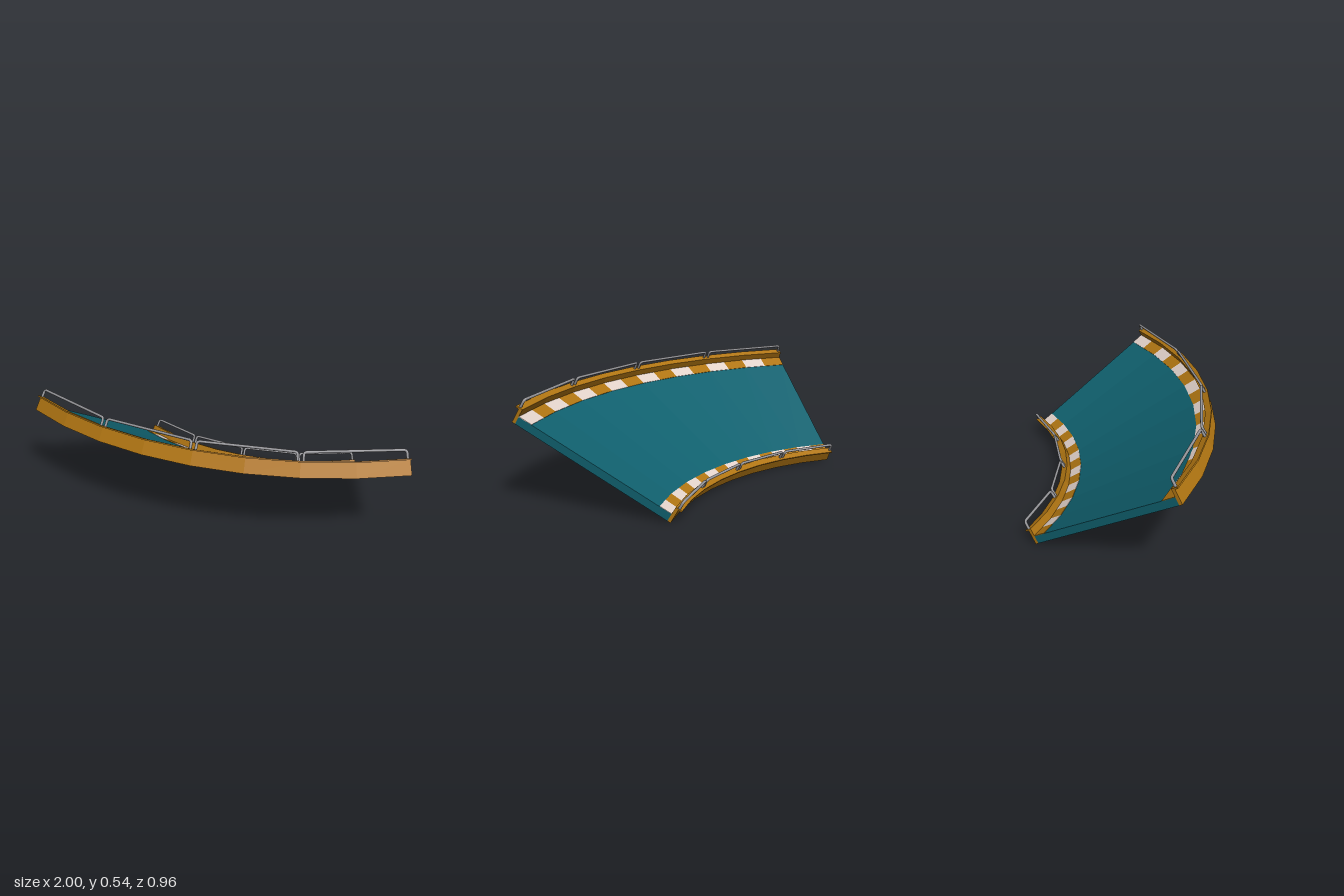
import * as THREE from 'three';

// Banked 60 degree curve: (u, v) run along and across the 30 degree slope
const CENTRE_Z = -1.52, INNER_R = 1.26, WIDTH = 0.854, WALL = 0.017;
const BANK = Math.PI / 6, HALF = Math.PI / 6;

function place(u, v, angle) {
  const r = INNER_R + u * Math.cos(BANK) - v * Math.sin(BANK);
  const y = u * Math.sin(BANK) + v * Math.cos(BANK);
  return new THREE.Vector3(r * Math.sin(angle), y, CENTRE_Z + r * Math.cos(angle));
}

// Sweep a rectangle of the cross-section along the arc
function sweep(u0, u1, v0, v1, start, end, steps) {
  const corners = [[u0, v0], [u1, v0], [u1, v1], [u0, v1]];
  const ring = (i) => {
    const angle = start + (end - start) * i / steps;
    return corners.map(([u, v]) => place(u, v, angle));
  };
  const points = [];
  const quad = (a, b, c, d) => points.push(a, b, c, a, c, d);
  for (let i = 0; i < steps; i++) {
    const p = ring(i), q = ring(i + 1);
    for (let k = 0; k < 4; k++) {
      const n = (k + 1) % 4;
      quad(p[k], q[k], q[n], p[n]);
    }
  }
  const first = ring(0), last = ring(steps);
  quad(first[0], first[1], first[2], first[3]);
  quad(last[3], last[2], last[1], last[0]);
  const geometry = new THREE.BufferGeometry().setFromPoints(points);
  geometry.computeVertexNormals();
  return geometry;
}

// Handrail hoop with rounded corners, standing between two angles
function railGeometry(u, start, end) {
  const base = 0.078, top = 0.121, bend = 0.016;
  const a = place(u, base, start), b = place(u, top, start);
  const c = place(u, top, end), d = place(u, base, end);
  const toward = (p, q) => p.clone().addScaledVector(q.clone().sub(p).normalize(), bend);
  const path = new THREE.CurvePath();
  path.add(new THREE.LineCurve3(a, toward(b, a)));
  path.add(new THREE.QuadraticBezierCurve3(toward(b, a), b, toward(b, c)));
  path.add(new THREE.LineCurve3(toward(b, c), toward(c, b)));
  path.add(new THREE.QuadraticBezierCurve3(toward(c, b), c, toward(c, d)));
  path.add(new THREE.LineCurve3(toward(c, d), d));
  return new THREE.TubeGeometry(path, 100, 0.007, 8, false);
}

export function createModel() {
  const model = new THREE.Group();
  const paint = (color, flatShading = true) => new THREE.MeshStandardMaterial({ color, flatShading });
  const teal = paint(0x10606e), gold = paint(0xb07512), white = paint(0xe2d2ca);
  const metal = paint(0x96969a, false);
  const add = (name, geometry, material, parent = model) => {
    const mesh = new THREE.Mesh(geometry, material);
    mesh.name = name;
    parent.add(mesh);
  };

  // Road slab
  add('roadSurface', sweep(WALL, WIDTH - WALL, 0, 0.04, -HALF, HALF, 8), teal);

  const sides = [
    { name: 'inner', wall: [0, WALL], lip: [-WALL, WALL], curb: [WALL, 0.081], rail: 0 },
    { name: 'outer', wall: [WIDTH - WALL, WIDTH], lip: [WIDTH - WALL, WIDTH + WALL],
      curb: [0.768, WIDTH - WALL], rail: WIDTH },
  ];
  for (const side of sides) {
    const group = new THREE.Group();
    group.name = side.name + 'Barrier';
    model.add(group);

    // Barrier wall with overhanging lip
    add(side.name + 'Wall', sweep(...side.wall, 0, 0.073, -HALF, HALF, 8), gold, group);
    add(side.name + 'Lip', sweep(...side.lip, 0.073, 0.08, -HALF, HALF, 8), gold, group);

    // Striped curb
    const stripe = 2 * HALF / 16;
    for (let i = 0; i < 16; i++) {
      const start = -HALF + i * stripe;
      // Pair the stripes on the road's own facets
      const facet = -HALF + Math.floor(i / 2) * stripe * 2;
      const geometry = sweep(...side.curb, 0.039, 0.042, start, start + stripe, 1);
      const position = geometry.attributes.position;
      const a = facet + stripe;
      for (let k = 0; k < position.count; k++) {
        const x = position.getX(k), z = position.getZ(k) - CENTRE_Z;
        if (Math.abs(Math.atan2(x, z) - a) < 1e-4) {
          const s = Math.cos(stripe);
          position.setX(k, x * s);
          position.setZ(k, CENTRE_Z + z * s);
        }
      }
      geometry.computeVertexNormals();
      add(side.name + 'CurbStripe', geometry, i % 2 ? white : gold, group);
    }

    // Handrails
    const span = 2 * HALF / 4, gap = 0.007;
    for (let i = 0; i < 4; i++) {
      const start = -HALF + i * span;
      add(side.name + 'Handrail', railGeometry(side.rail, start + gap, start + span - gap), metal, group);
    }
  }
  return model;
}
